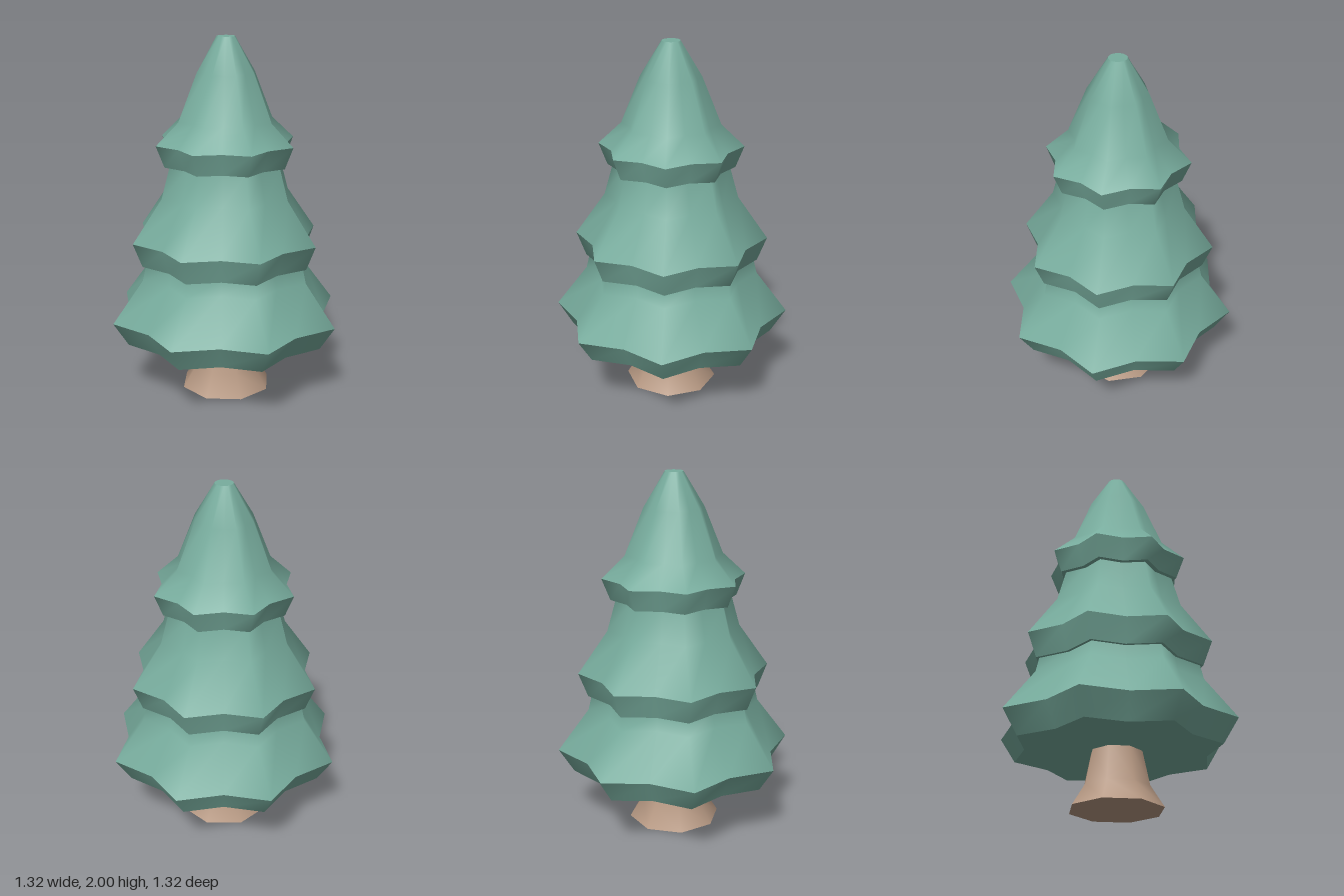
import * as THREE from 'three';

const SIDES = 16;

// One smooth band of eight-pointed star rings; each ring is [radius, y, valley ratio]
function starBand(rings) {
  const pos = [], index = [];
  for (const [r, y, valley = 0.846] of rings) {
    for (let i = 0; i < SIDES; i++) {
      const a = (i / SIDES) * Math.PI * 2;
      const q = i % 2 ? r * valley : r;
      pos.push(Math.sin(a) * q, y, Math.cos(a) * q);
    }
  }
  for (let k = 0; k < rings.length - 1; k++) {
    for (let i = 0; i < SIDES; i++) {
      const j = (i + 1) % SIDES;
      const a = k * SIDES + i, b = k * SIDES + j;
      index.push(a, b, b + SIDES, a, b + SIDES, a + SIDES);
    }
  }
  return finish(pos, index);
}

// Flat star closing a band, facing up or down
function starCap([r, y, valley = 0.846], up) {
  const pos = [0, y, 0], index = [];
  for (let i = 0; i < SIDES; i++) {
    const a = (i / SIDES) * Math.PI * 2;
    const q = i % 2 ? r * valley : r;
    pos.push(Math.sin(a) * q, y, Math.cos(a) * q);
    const m = 1 + i, n = 1 + ((i + 1) % SIDES);
    index.push(0, up ? m : n, up ? n : m);
  }
  return finish(pos, index);
}

function finish(pos, index) {
  const g = new THREE.BufferGeometry();
  g.setAttribute('position', new THREE.Float32BufferAttribute(pos, 3));
  g.setIndex(index);
  g.computeVertexNormals();
  return g;
}

export function createModel() {
  const model = new THREE.Group();
  model.name = 'pineTree';

  const needles = new THREE.MeshStandardMaterial({ color: 0x78ad9e });
  needles.name = 'needle green';
  const bark = new THREE.MeshStandardMaterial({ color: 0xb89a84 });
  bark.name = 'bark brown';

  const add = (parent, name, geometry, material) => {
    const mesh = new THREE.Mesh(geometry, material);
    mesh.name = name;
    parent.add(mesh);
  };

  // Foliage tiers: underside ring, widest rim, then the slope up to the next tier
  const tiers = {
    lowerTier: [[0.575, 0.31], [0.66, 0.445], [0.485, 0.68], [0.465, 0.765]],
    middleTier: [[0.485, 0.76], [0.537, 0.895], [0.37, 1.135], [0.32, 1.315]],
    upperTier: [[0.35, 1.31], [0.397, 1.43], [0.27, 1.55], [0.165, 1.81, 0.92], [0.05, 2, 1]],
  };
  for (const [name, rings] of Object.entries(tiers)) {
    const tier = new THREE.Group();
    tier.name = name;
    add(tier, 'rim', starBand(rings.slice(0, 2)), needles);
    add(tier, 'slope', starBand(rings.slice(1)), needles);
    add(tier, 'underside', starCap(rings[0], false), needles);
    if (name === 'upperTier') add(tier, 'tip', starCap(rings[rings.length - 1], true), needles);
    model.add(tier);
  }

  // Trunk with a flared foot, eight sided
  const profile = [[0.257, 0], [0.182, 0.12], [0.14, 0.32]].map(([r, y]) => new THREE.Vector2(r, y));
  add(model, 'trunk', new THREE.LatheGeometry(profile, 8), bark);
  const base = new THREE.CircleGeometry(0.257, 8);
  base.rotateX(Math.PI / 2);
  add(model, 'trunkBase', base, bark);

  return model;
}
